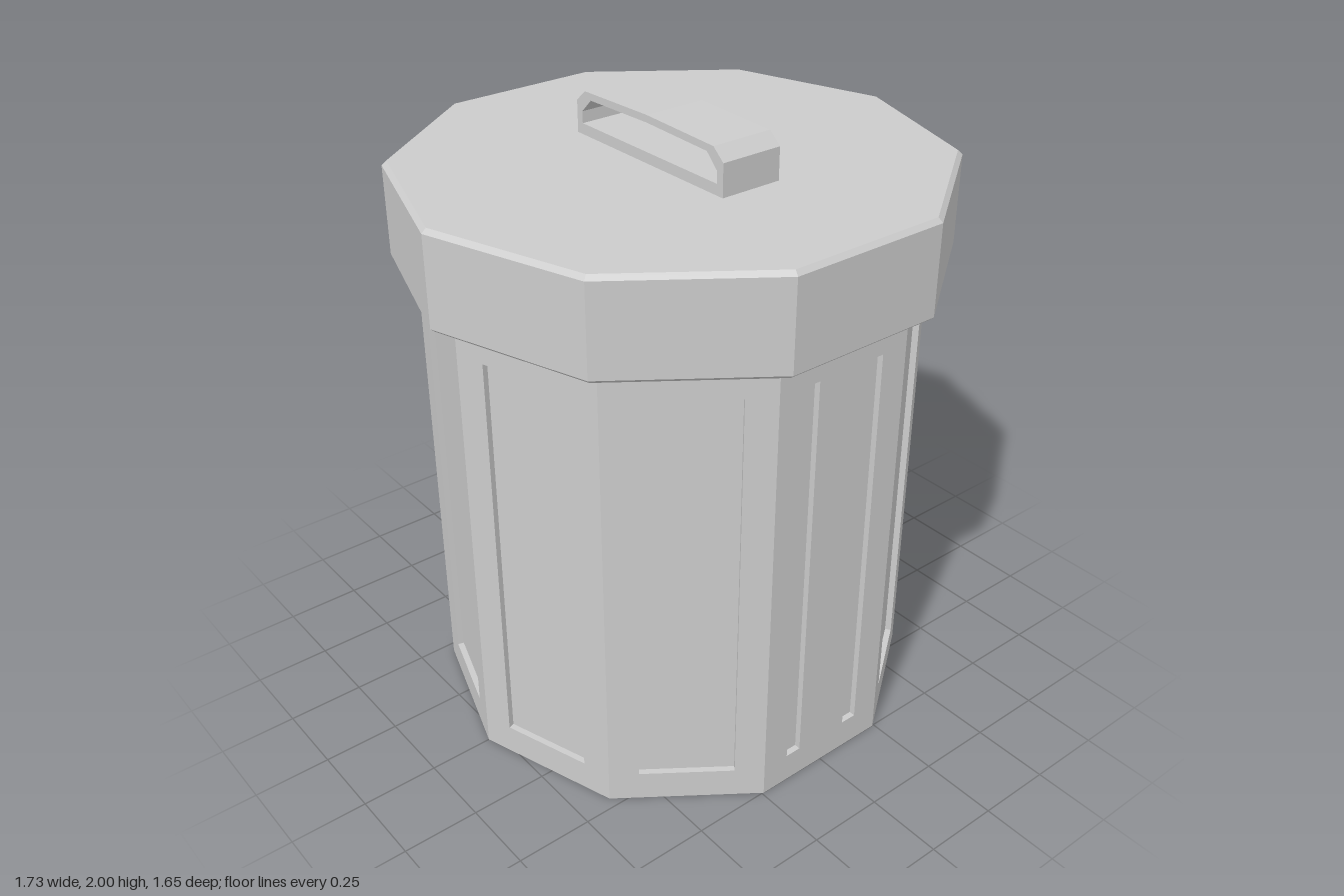
import * as THREE from 'three';

const SIDES = 10;
const STEP = (Math.PI * 2) / SIDES;
const BODY_R = 0.79, BODY_H = 1.54, RECESS = 0.02;
const LID_R = 0.865;
const APOTHEM = BODY_R * Math.cos(STEP / 2);
const FACE_HALF = BODY_R * Math.sin(STEP / 2);

const material = new THREE.MeshStandardMaterial({ color: 0xcccccc, flatShading: true });

function part(name, geometry) {
  const mesh = new THREE.Mesh(geometry, material);
  mesh.name = name;
  return mesh;
}

function polygon(points, Type = THREE.Shape) {
  return new Type(points.map(([x, y]) => new THREE.Vector2(x, y)));
}

function rect(x0, x1, y0, y1, Type) {
  return polygon([[x0, y0], [x1, y0], [x1, y1], [x0, y1]], Type);
}

// One flat side of the can, with openings that show the recessed core
function wallGeometry(openings) {
  const shape = rect(-FACE_HALF, FACE_HALF, 0, BODY_H);
  for (const [x0, x1] of openings) shape.holes.push(rect(x0, x1, 0.1, 1.445, THREE.Path));
  const depth = RECESS + 0.005;
  return new THREE.ExtrudeGeometry(shape, { depth, bevelEnabled: false })
    .translate(0, 0, APOTHEM - depth);
}

function createBody() {
  const body = new THREE.Group();
  body.name = 'body';

  // Core: floor of the recesses and base of the can
  const coreR = (APOTHEM - RECESS) / Math.cos(STEP / 2);
  const core = new THREE.CylinderGeometry(coreR, coreR, BODY_H, SIDES, 1, false, STEP / 2)
    .translate(0, BODY_H / 2, 0);
  body.add(part('core', core));

  // Front and back carry two narrow slots, the other sides one wide panel
  const panel = wallGeometry([[-0.15, 0.15]]);
  const slots = wallGeometry([[-0.15, -0.095], [0.095, 0.15]]);
  for (let i = 0; i < SIDES; i++) {
    const slotted = i % (SIDES / 2) === 0;
    const wall = part(slotted ? 'slottedWall' : 'panelWall', slotted ? slots : panel);
    wall.rotation.y = i * STEP;
    body.add(wall);
  }
  return body;
}

// Overhanging lid with small chamfers at both rims
function createLid() {
  const profile = [
    [0, 1.54], [LID_R - 0.015, 1.54], [LID_R, 1.553],
    [LID_R, 1.838], [LID_R - 0.015, 1.852], [0, 1.852],
  ].map(([r, y]) => new THREE.Vector2(r, y));
  return part('lid', new THREE.LatheGeometry(profile, SIDES, STEP / 2));
}

// Looped handle running front to back
function createHandle() {
  const outline = polygon([
    [-0.343, 1.845], [0.343, 1.845], [0.343, 1.955], [0.3, 1.992],
    [0, 2], [-0.3, 1.992], [-0.343, 1.955],
  ]);
  outline.holes.push(polygon([
    [-0.317, 1.887], [0.317, 1.887], [0.317, 1.925], [0.272, 1.97],
    [0, 1.977], [-0.272, 1.97], [-0.317, 1.925],
  ], THREE.Path));
  const width = 0.21;
  const geometry = new THREE.ExtrudeGeometry(outline, { depth: width, bevelEnabled: false })
    .translate(0, 0, -width / 2)
    .rotateY(Math.PI / 2);
  return part('handle', geometry);
}

export function createModel() {
  const model = new THREE.Group();
  model.name = 'trashCan';
  model.add(createBody(), createLid(), createHandle());
  return model;
}
